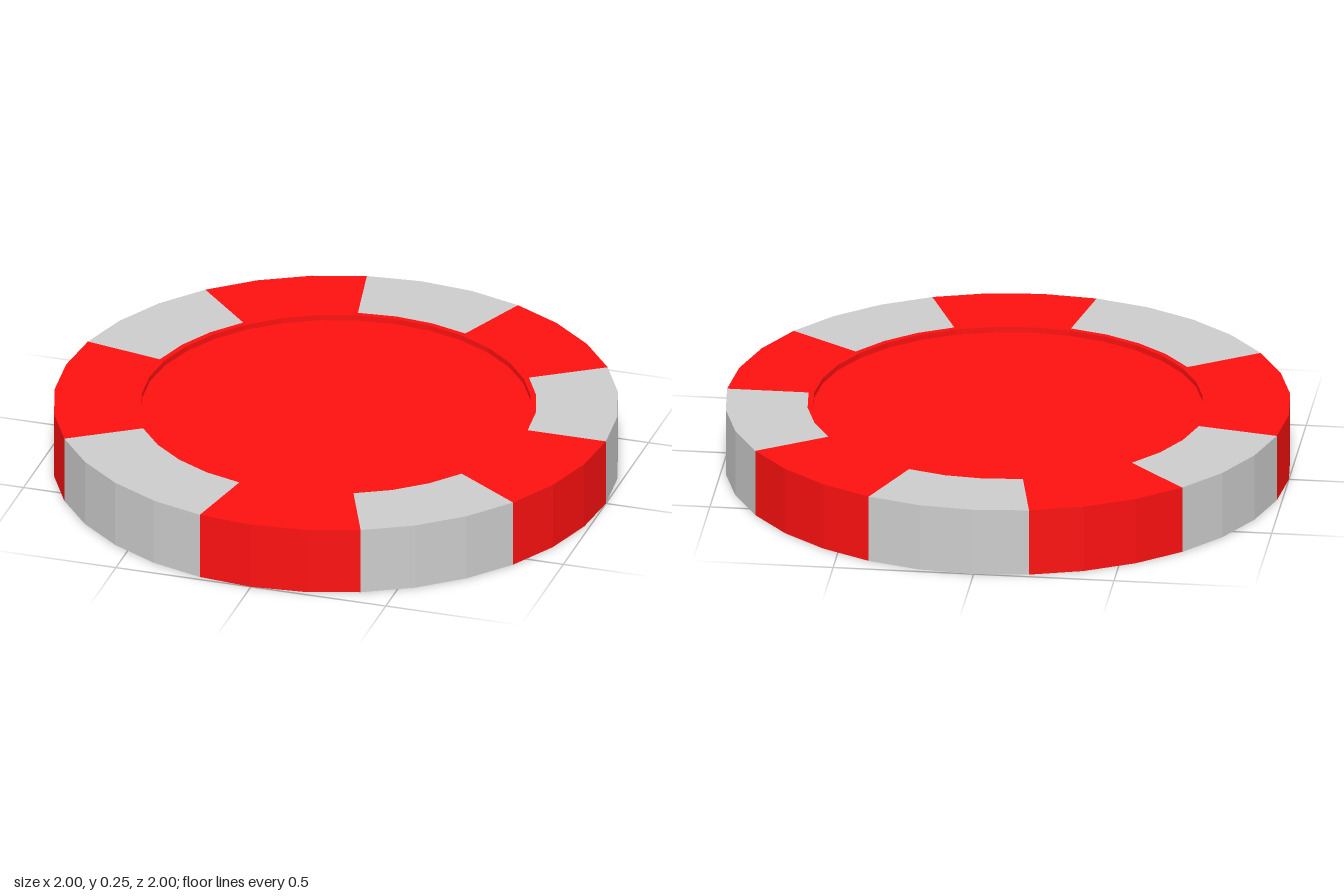
import * as THREE from 'three';

const SIDES = 32, STEP = (Math.PI * 2) / SIDES;
const HEIGHT = 0.246, OUTER = 1, LIP = 0.71, INNER = 0.69, RECESS = 0.02;

const red = new THREE.MeshStandardMaterial({ color: 0xfc1010, flatShading: true });
const grey = new THREE.MeshStandardMaterial({ color: 0xcccccc, flatShading: true });

// Revolve a profile over part of the circle; facet 0 starts at +x and runs towards -z
function revolve(name, profile, material, from = 0, to = SIDES) {
  const points = profile.map(([r, y]) => new THREE.Vector2(r, y));
  const geometry = new THREE.LatheGeometry(points, to - from, Math.PI / 2 + from * STEP, (to - from) * STEP);
  const mesh = new THREE.Mesh(geometry, material);
  mesh.name = name;
  return mesh;
}

function disc(name, y, tilt, material) {
  const mesh = new THREE.Mesh(new THREE.CircleGeometry(INNER, SIDES), material);
  mesh.rotation.x = tilt;
  mesh.position.y = y;
  mesh.name = name;
  return mesh;
}

export function createModel() {
  const chip = new THREE.Group();
  chip.name = 'gamingChip';

  // Rim blocks, alternating grey and red, split at these facet numbers
  const rimProfile = [[INNER, 0], [OUTER, 0], [OUTER, HEIGHT], [LIP, HEIGHT]];
  const splits = [0, 3, 6, 9, 12, 15, 19, 23, 26, 29, 32];
  for (let i = 0; i < splits.length - 1; i++) {
    const isGrey = i % 2 === 0;
    chip.add(revolve(isGrey ? 'greyRimBlock' : 'redRimBlock', rimProfile,
      isGrey ? grey : red, splits[i], splits[i + 1]));
  }

  // Red lip and the walls of the two shallow recesses
  chip.add(revolve('topLip', [[LIP, HEIGHT], [INNER, HEIGHT], [INNER, HEIGHT - RECESS]], red));
  chip.add(revolve('bottomRecessWall', [[INNER, RECESS], [INNER, 0]], red));

  // Recessed faces
  chip.add(disc('topFace', HEIGHT - RECESS, -Math.PI / 2, red));
  chip.add(disc('bottomFace', RECESS, Math.PI / 2, grey));

  return chip;
}
